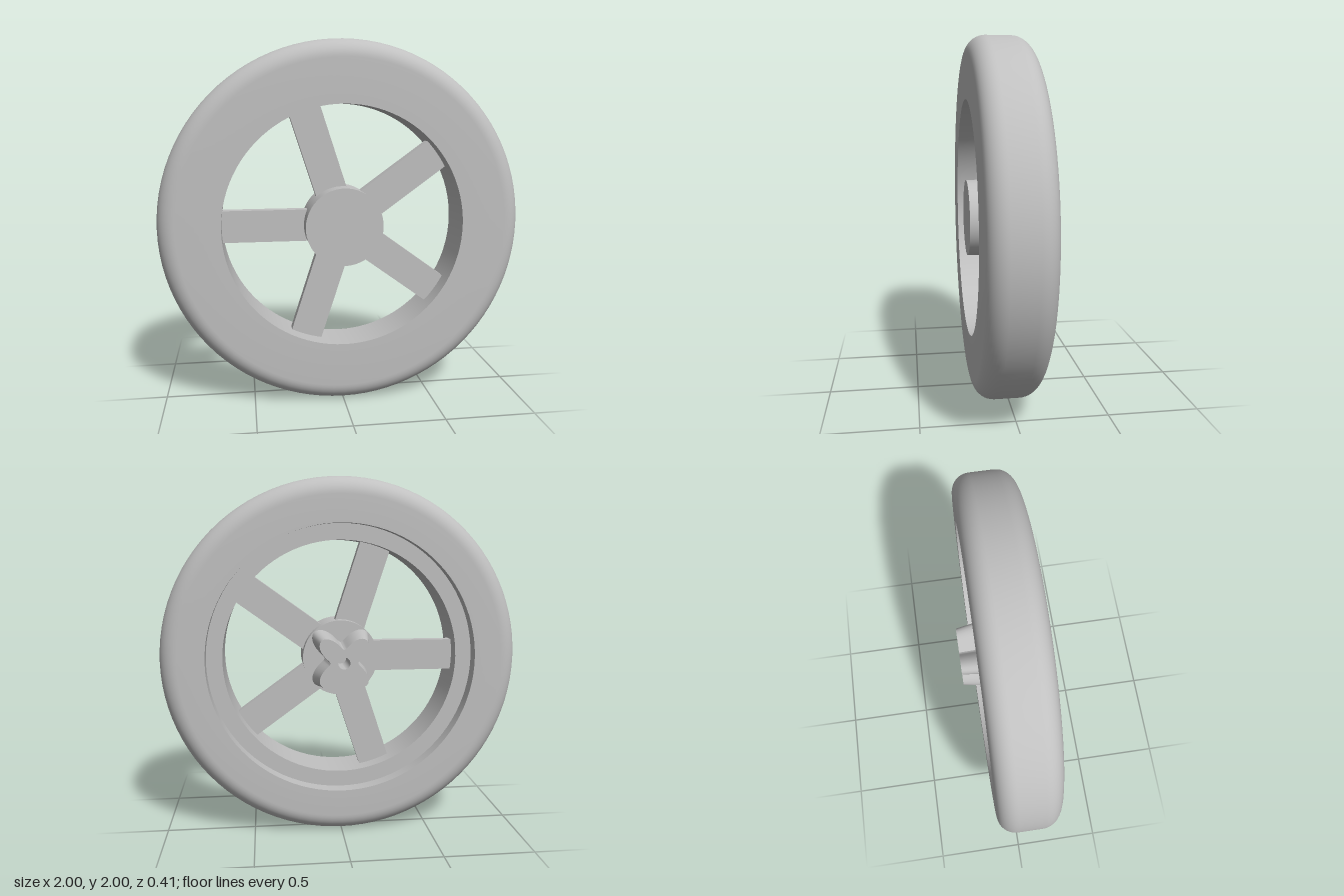
import * as THREE from 'three';
import { toCreasedNormals } from 'three/addons/utils/BufferGeometryUtils.js';

const BACK = -0.13, FRONT = 0.205, CREASE = 0.6;

// Tyre section: rounded outer shoulders, stepped recess at the back of the bore
function tyreGeometry() {
  const fillet = 0.1;
  const points = [[0.66, -0.05], [0.75, -0.05], [0.75, BACK]].map(([r, z]) => new THREE.Vector2(r, z));
  const shoulder = (z, start) => {
    for (let i = 0; i <= 10; i++) {
      const a = start + (i / 10) * Math.PI / 2;
      points.push(new THREE.Vector2(1 - fillet + fillet * Math.cos(a), z + fillet * Math.sin(a)));
    }
  };
  shoulder(BACK + fillet, -Math.PI / 2);
  shoulder(FRONT - fillet, 0);
  points.push(new THREE.Vector2(0.66, FRONT), new THREE.Vector2(0.66, -0.05));
  const geometry = new THREE.LatheGeometry(points, 96).rotateX(Math.PI / 2);
  return toCreasedNormals(geometry, CREASE);
}

// Four-lobed knob with an axle hole, tapering slightly towards its tip
function knobGeometry(length) {
  const outline = [];
  for (let i = 0; i < 80; i++) {
    const a = (i / 80) * Math.PI * 2;
    const r = 0.125 - 0.05 * Math.cos(4 * a);
    outline.push(new THREE.Vector2(r * Math.cos(a), r * Math.sin(a)));
  }
  const shape = new THREE.Shape(outline);
  shape.holes.push(new THREE.Path().absarc(0, 0, 0.033, 0, Math.PI * 2, true));
  const geometry = new THREE.ExtrudeGeometry(shape, { depth: length, bevelEnabled: false, curveSegments: 16 });
  const p = geometry.attributes.position;
  for (let i = 0; i < p.count; i++) {
    if (Math.hypot(p.getX(i), p.getY(i)) < 0.05) continue;
    const s = 1 + 0.2 * (1 - p.getZ(i) / length);
    p.setXY(i, p.getX(i) * s, p.getY(i) * s);
  }
  geometry.rotateY(Math.PI);
  return toCreasedNormals(geometry, CREASE);
}

export function createModel() {
  const grey = new THREE.MeshStandardMaterial({ color: 0xc0c0c0 });
  grey.name = 'light grey';
  const model = new THREE.Group();
  model.name = 'wheel';
  const wheel = new THREE.Group();
  wheel.name = 'wheelAssembly';
  wheel.position.y = 1;
  model.add(wheel);

  const add = (name, geometry) => {
    const mesh = new THREE.Mesh(geometry, grey);
    mesh.name = name;
    wheel.add(mesh);
    return mesh;
  };

  add('tyre', tyreGeometry());

  // Hub drum, flush with the front of the tyre
  const hubBack = -0.02;
  const hub = add('hub', new THREE.CylinderGeometry(0.213, 0.213, FRONT - hubBack, 64).rotateX(Math.PI / 2));
  hub.position.z = (FRONT + hubBack) / 2;

  // Knob on the back of the hub
  const knob = add('knob', knobGeometry(0.19));
  knob.position.z = hubBack;

  // Five flat spokes
  for (let i = 0; i < 5; i++) {
    const spoke = add('spoke' + (i + 1), new THREE.BoxGeometry(0.52, 0.175, 0.06).translate(0.41, 0, 0.07));
    spoke.rotation.z = Math.PI + (i * Math.PI * 2) / 5;
  }
  return model;
}
